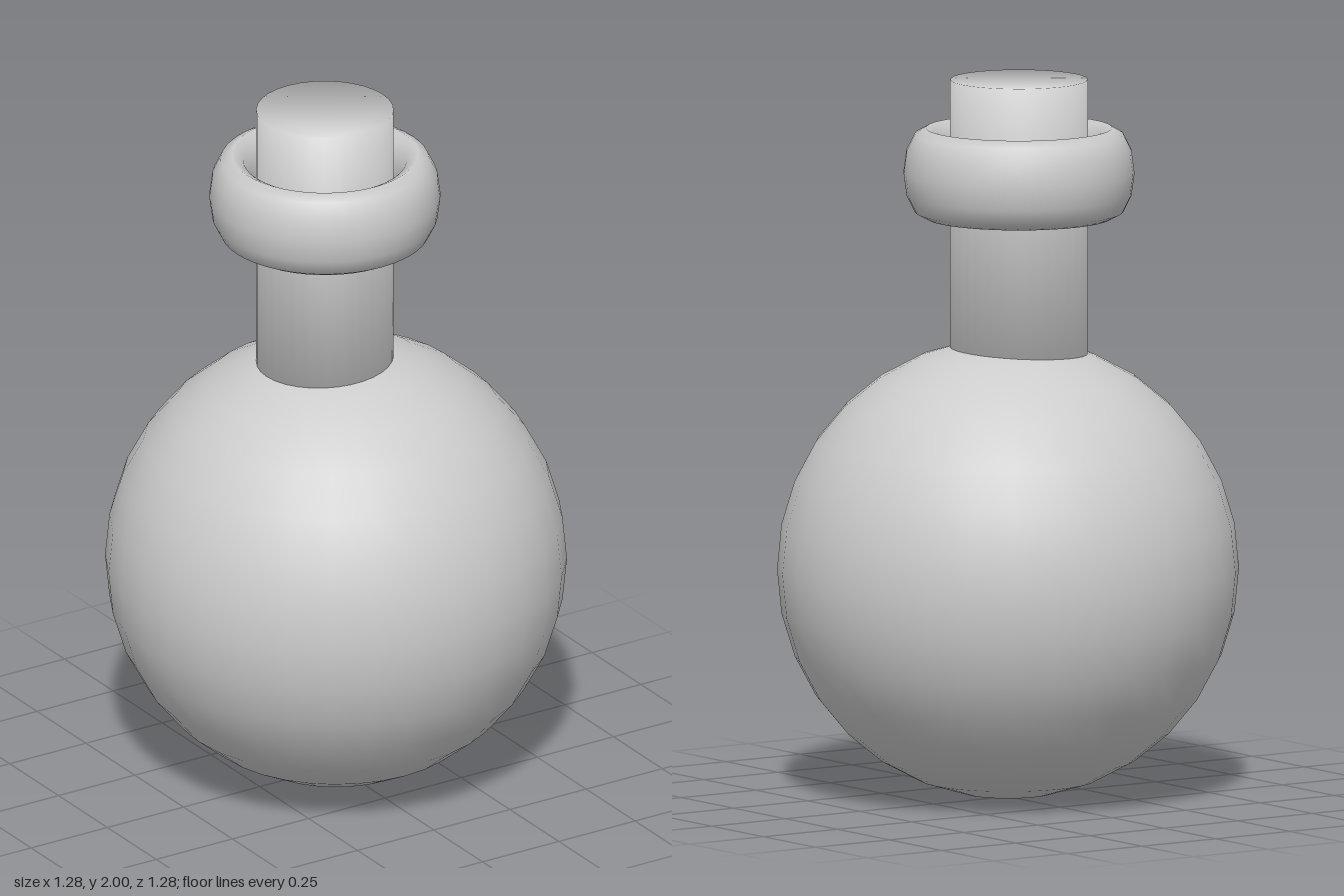
import * as THREE from 'three';

export function createModel() {
  const group = new THREE.Group();
  const grey = new THREE.MeshStandardMaterial({ color: 0xcccccc });
  grey.name = 'plain grey';

  const add = (name, geometry, x, y, z) => {
    const mesh = new THREE.Mesh(geometry, grey);
    mesh.name = name;
    mesh.position.set(x, y, z);
    group.add(mesh);
  };

  // Round flask body
  add('body', new THREE.SphereGeometry(0.638, 32, 16), 0, 0.638, 0);

  // Closed neck, set slightly off centre, shaded softly across its rim
  const radius = 0.19, bottom = 1.0, height = 2 - bottom;
  const circle = new THREE.Shape(
    Array.from({ length: 32 }, (_, i) => {
      const a = (i / 32) * Math.PI * 2;
      return new THREE.Vector2(radius * Math.cos(a), radius * Math.sin(a));
    })
  );
  const neck = new THREE.ExtrudeGeometry(circle, { depth: height, bevelEnabled: false });
  neck.rotateX(-Math.PI / 2);
  const pos = neck.attributes.position;
  const normal = new THREE.Vector3();
  for (let i = 0; i < pos.count; i++) {
    const up = pos.getY(i) > height / 2 ? radius : -radius;
    normal.set(pos.getX(i), up, pos.getZ(i)).normalize();
    neck.attributes.normal.setXYZ(i, normal.x, normal.y, normal.z);
  }
  add('neck', neck, -0.03, bottom, -0.01);

  // Collar ring with a tall oval section
  const collar = new THREE.TorusGeometry(0.257, 0.0625, 12, 48);
  collar.rotateX(Math.PI / 2);
  collar.scale(1, 2, 1);
  add('collar', collar, -0.03, 1.74, -0.01);

  return group;
}
